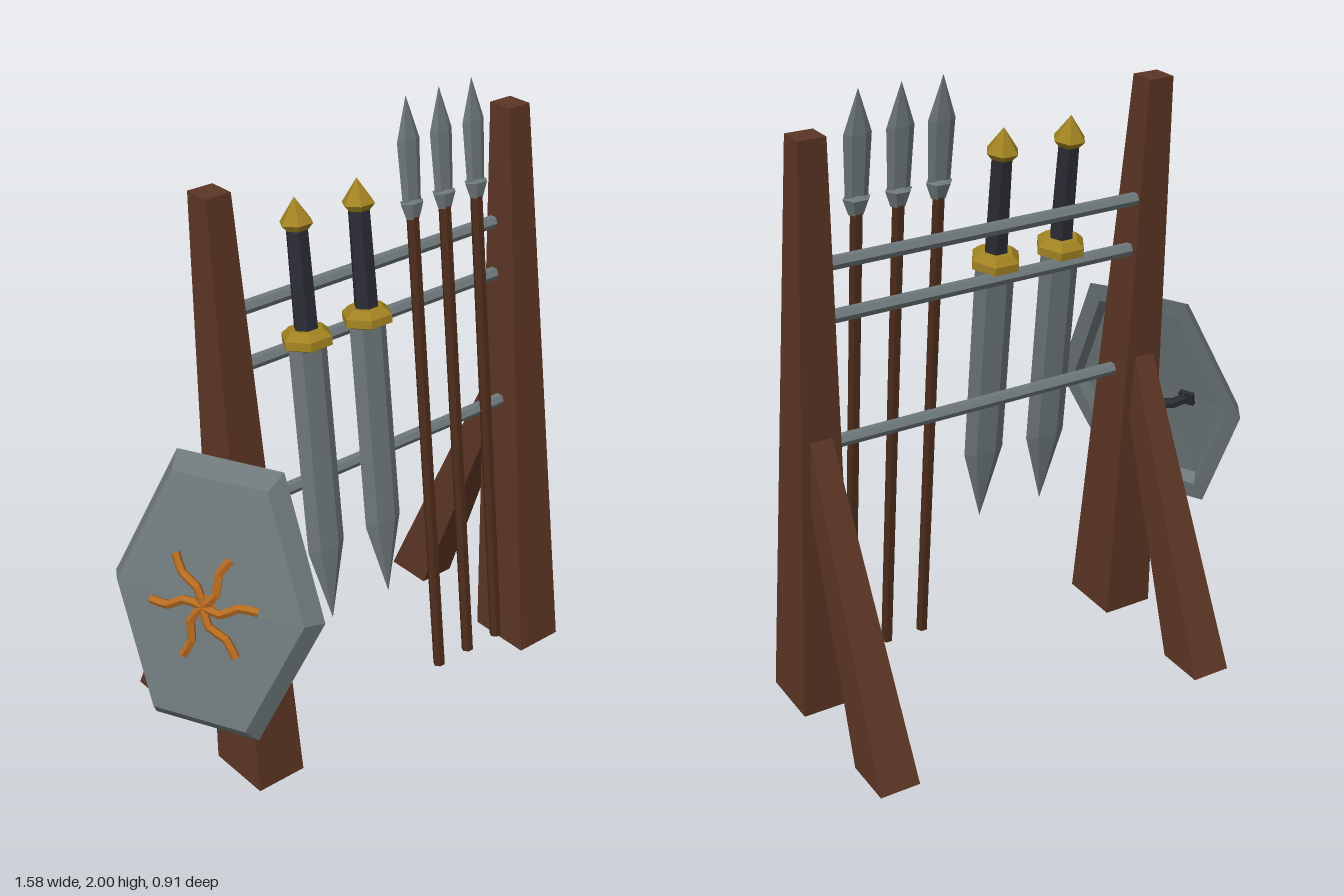
import * as THREE from 'three';

const mat = (name, color) => {
  const m = new THREE.MeshStandardMaterial({ color });
  m.name = name;
  return m;
};

export function createModel() {
  const wood = mat('wood', 0x5c3524);
  const shaftWood = mat('dark shaft wood', 0x4c2c1a);
  const steel = mat('steel', 0x6e787a);
  const gold = mat('gold', 0xa28322);
  const leather = mat('dark leather', 0x2a2b34);
  const bronze = mat('orange bronze', 0xb46a20);

  const model = new THREE.Group();
  model.name = 'weaponRack';

  const add = (parent, name, geometry, material) => {
    const mesh = new THREE.Mesh(geometry, material);
    mesh.name = name;
    parent.add(mesh);
    return mesh;
  };

  // Faceted normals for low-poly surfaces
  const facet = (g) => {
    const f = g.index ? g.toNonIndexed() : g;
    f.computeVertexNormals();
    return f;
  };

  // Six-sided turned solid from [radius, y] pairs, corners on the x axis
  const hexSolid = (profile, depth = 1) => {
    const pts = profile.map(([r, y]) => new THREE.Vector2(r, y));
    const g = new THREE.LatheGeometry(pts, 6, Math.PI / 2);
    return facet(g.scale(1, 1, depth));
  };

  // Tapered beam between two rectangles: { y, z0, z1, w }
  const beam = (bottom, top) => {
    const g = new THREE.BoxGeometry(1, 1, 1);
    const p = g.attributes.position;
    for (let i = 0; i < p.count; i++) {
      const e = p.getY(i) > 0 ? top : bottom;
      p.setXYZ(i, p.getX(i) * e.w, e.y, p.getZ(i) > 0 ? e.z1 : e.z0);
    }
    return facet(g);
  };

  // Posts with rear struts
  for (const [side, x] of [['right', -0.435], ['left', 0.702]]) {
    add(model, side + 'Post', beam(
      { y: 0, z0: 0.02, z1: 0.24, w: 0.172 },
      { y: 1.89, z0: -0.075, z1: 0.01, w: 0.085 }), wood).position.x = x;
    add(model, side + 'RearStrut', beam(
      { y: 0, z0: -0.458, z1: -0.29, w: 0.13 },
      { y: 0.97, z0: -0.03, z1: 0.06, w: 0.07 }), wood).position.x = x;
  }

  // Cross rails
  for (const [y, z] of [[1.51, -0.03], [1.34, -0.01], [0.91, 0.052]]) {
    const g = new THREE.CylinderGeometry(0.021, 0.021, 1.1, 6);
    const rail = add(model, 'rail', facet(g.rotateZ(Math.PI / 2)), steel);
    rail.position.set(0.134, y, z);
  }

  // Swords hanging point down, leaning back on the rails
  for (const x of [-0.155, 0.075]) {
    const sword = new THREE.Group();
    sword.name = 'sword';
    sword.position.set(x, 1.385, 0.035);
    sword.rotation.x = -Math.atan(0.125);
    add(sword, 'blade', hexSolid([[0, -0.945], [0.07, -0.69], [0.07, -0.02], [0, -0.02]], 0.3), steel);
    add(sword, 'guard', hexSolid([[0, -0.027], [0.06, -0.027], [0.08, -0.018], [0.08, 0.008], [0.055, 0.03], [0, 0.03]]), gold);
    add(sword, 'grip', hexSolid([[0.038, 0.025], [0.034, 0.345]]), leather);
    add(sword, 'pommel', hexSolid([[0, 0.33], [0.035, 0.33], [0.052, 0.35], [0, 0.425]]), gold);
    model.add(sword);
  }

  // Spears standing point up
  for (const x of [0.285, 0.415, 0.547]) {
    const spear = new THREE.Group();
    spear.name = 'spear';
    spear.position.set(x, 0.07, 0.179);
    spear.rotation.x = -Math.atan(0.117);
    add(spear, 'shaft', hexSolid([[0, 0], [0.02, 0], [0.02, 1.58], [0, 1.58]]), shaftWood);
    add(spear, 'socket', hexSolid([[0, 1.57], [0.025, 1.57], [0.043, 1.62], [0, 1.63]], 0.75), steel);
    add(spear, 'head', hexSolid([[0, 1.615], [0.036, 1.615], [0.044, 1.81], [0, 1.943]], 0.28), steel);
    model.add(spear);
  }

  // Hexagonal shield leaning on the post; local +z is its face
  const shield = new THREE.Group();
  shield.name = 'shield';
  shield.position.set(-0.585, 0.72, 0.149);
  shield.rotation.set(-0.25, -1.102, 0, 'YXZ');
  model.add(shield);
  const body = hexSolid([[0, 0.05], [0.27, 0.035], [0.29, 0], [0.343, 0], [0.305, 0.062], [0, 0.09]], 1.41);
  add(shield, 'shieldBody', body.rotateX(Math.PI / 2), steel);

  // Curved arms of the face ornament
  const ornament = new THREE.Group();
  ornament.name = 'ornament';
  ornament.position.z = 0.09;
  shield.add(ornament);
  for (const deg of [5, 63, 125, 185, 250, 308]) {
    const at = (r, turn, z) => {
      const a = THREE.MathUtils.degToRad(deg + turn);
      return new THREE.Vector3(r * Math.cos(a), r * Math.sin(a), z);
    };
    const path = new THREE.CatmullRomCurve3([at(0, 0, 0.008), at(0.06, -14, 0.012), at(0.115, 6, 0.006), at(0.175, 2, 0)]);
    add(ornament, 'ornamentArm', facet(new THREE.TubeGeometry(path, 6, 0.014, 5)), bronze);
  }
  add(ornament, 'ornamentCentre', facet(new THREE.SphereGeometry(0.036, 6, 4).scale(1, 1, 0.6)), bronze);

  // Hand grip on the back of the shield
  const gripPath = new THREE.CatmullRomCurve3([
    [-0.13, 0, 0.05], [-0.1, 0, -0.01], [0, 0, -0.03], [0.1, 0, -0.01], [0.13, 0, 0.05],
  ].map((p) => new THREE.Vector3(...p)));
  add(shield, 'handGrip', facet(new THREE.TubeGeometry(gripPath, 10, 0.018, 6)), leather);
  for (const s of [-1, 1]) {
    const mount = add(shield, 'gripMount', new THREE.BoxGeometry(0.05, 0.045, 0.03), leather);
    mount.position.set(s * 0.13, 0, 0.04);
  }

  return model;
}
